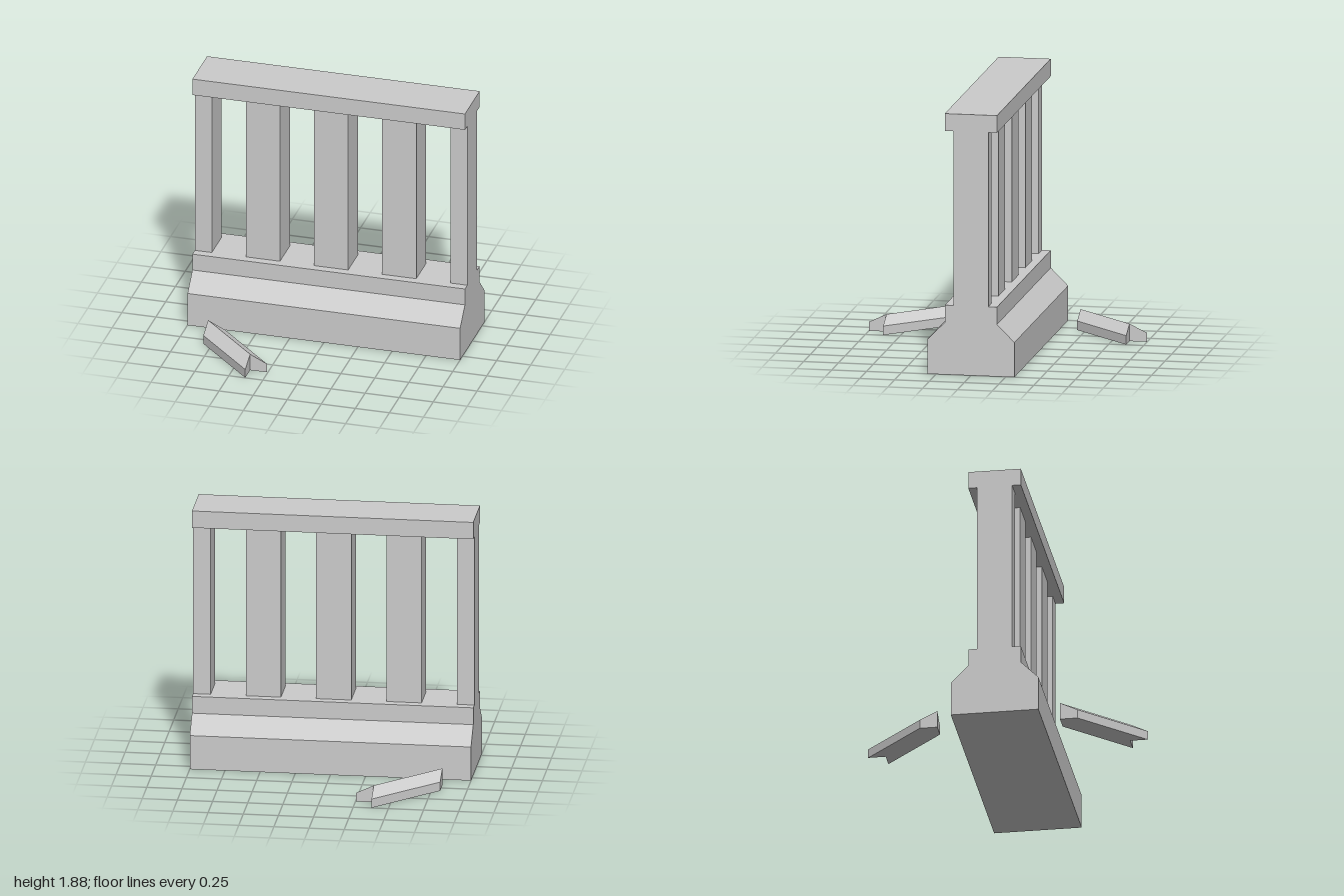
import * as THREE from 'three';

export function createModel() {
  const model = new THREE.Group();
  const material = new THREE.MeshStandardMaterial({ color: 0xcccccc, flatShading: true });

  const add = (name, geometry, x = 0, y = 0, z = 0) => {
    const mesh = new THREE.Mesh(geometry, material);
    mesh.name = name;
    mesh.position.set(x, y, z);
    model.add(mesh);
    return mesh;
  };

  // Plinth: symmetrical stepped profile run along x
  const half = [[0.3125, 0], [0.3125, 0.25], [0.1875, 0.375], [0.1875, 0.5]];
  const outline = [...half, ...half.map(([z, y]) => [-z, y]).reverse()];
  const plinth = new THREE.ExtrudeGeometry(
    new THREE.Shape(outline.map(([z, y]) => new THREE.Vector2(z, y))),
    { depth: 2, bevelEnabled: false }
  );
  plinth.translate(0, 0, -1).rotateY(Math.PI / 2);
  add('plinth', plinth);

  // Balusters: full posts inside, half-width posts at both ends
  for (let i = -2; i <= 2; i++) {
    const end = Math.abs(i) === 2;
    const width = end ? 0.125 : 0.25;
    const x = end ? Math.sign(i) * 0.9375 : i * 0.5;
    add(end ? 'endPost' : 'baluster', new THREE.BoxGeometry(width, 1.255, 0.25), x, 1.1275);
  }

  add('handrail', new THREE.BoxGeometry(2, 0.125, 0.375), 0, 1.8175);

  // Ridged diagonal blocks lying on the ground on both sides
  add('frontGroundBlock', ridgedBlock(1));
  add('backGroundBlock', ridgedBlock(-1));

  return model;
}

// A folded cross-section swept diagonally; side mirrors it in z
function ridgedBlock(side) {
  const section = [
    [0.125, 0, 0], [0.125, 0.065, 0], [0, 0.125, 0],
    [0, 0.065, 0.125], [0, 0, 0.125], [0, 0, 0]
  ];
  const points = [];
  for (const [cx, cz] of [[-0.8125, 0.4375], [-0.38, 0.873]]) {
    for (const [x, y, z] of section) points.push([cx + x, y, side * (cz + z)]);
  }

  // End caps in two halves, then the faces along the length
  const quads = [[0, 5, 2, 1], [2, 5, 4, 3], [6, 7, 8, 11], [8, 9, 10, 11]];
  for (let i = 0; i < 6; i++) {
    const j = (i + 1) % 6;
    quads.push([i, j, j + 6, i + 6]);
  }

  const positions = [];
  for (const quad of quads) {
    const [a, b, c, d] = side > 0 ? quad : [...quad].reverse();
    for (const k of [a, b, c, a, c, d]) positions.push(...points[k]);
  }
  const geometry = new THREE.BufferGeometry();
  geometry.setAttribute('position', new THREE.Float32BufferAttribute(positions, 3));
  geometry.computeVertexNormals();
  return geometry;
}
